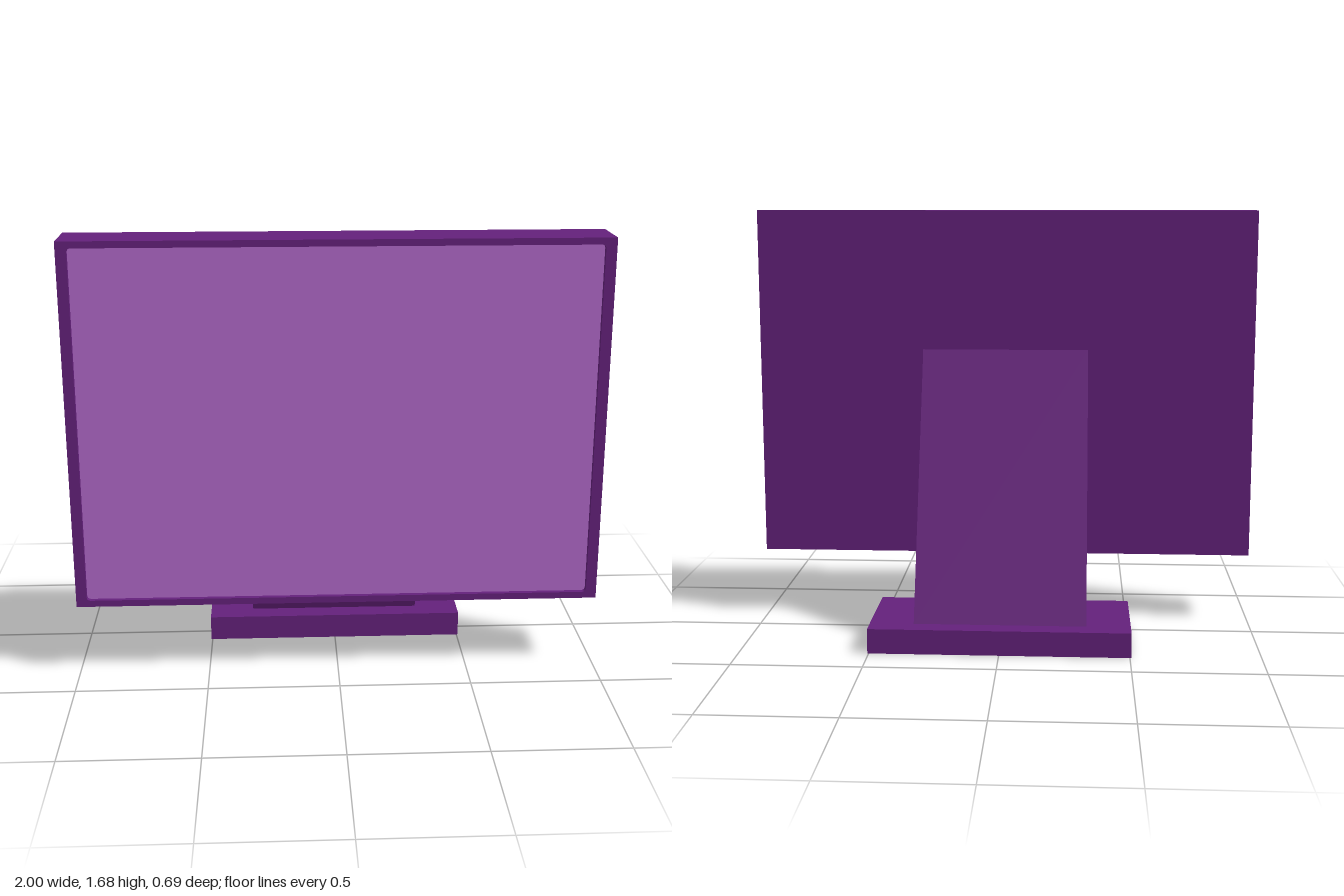
import * as THREE from 'three';

const purple = new THREE.MeshStandardMaterial({ name: 'casing purple', color: 0x64217b });
const lilac = new THREE.MeshStandardMaterial({ name: 'screen lilac', color: 0xb269ca });

function add(group, name, geometry, material, x = 0, y = 0, z = 0) {
  const mesh = new THREE.Mesh(geometry, material);
  mesh.name = name;
  mesh.position.set(x, y, z);
  group.add(mesh);
}

// Closed rectangle with rounded corners, centred on the origin
function roundedRect(path, w, h, r) {
  const x = w / 2, y = h / 2;
  path.moveTo(-x + r, -y);
  path.lineTo(x - r, -y);
  path.quadraticCurveTo(x, -y, x, -y + r);
  path.lineTo(x, y - r);
  path.quadraticCurveTo(x, y, x - r, y);
  path.lineTo(-x + r, y);
  path.quadraticCurveTo(-x, y, -x, y - r);
  path.lineTo(-x, -y + r);
  path.quadraticCurveTo(-x, -y, -x + r, -y);
  return path;
}

export function createModel() {
  const model = new THREE.Group();
  model.name = 'monitor';

  const width = 2, height = 1.4, midY = 0.977;
  const back = 0.147, front = 0.347, recess = 0.02;
  const screenW = 1.92, screenH = 1.35, corner = 0.015;

  // Casing behind the screen
  const bodyDepth = front - back - recess;
  add(model, 'casing', new THREE.BoxGeometry(width, height, bodyDepth), purple, 0, midY, back + bodyDepth / 2);

  // Raised bezel around the recessed screen
  const bezel = new THREE.Shape([
    new THREE.Vector2(-width / 2, -height / 2), new THREE.Vector2(width / 2, -height / 2),
    new THREE.Vector2(width / 2, height / 2), new THREE.Vector2(-width / 2, height / 2),
  ]);
  bezel.holes.push(roundedRect(new THREE.Path(), screenW, screenH, corner));
  const bezelGeometry = new THREE.ExtrudeGeometry(bezel, { depth: recess, bevelEnabled: false, curveSegments: 4 });
  add(model, 'bezel', bezelGeometry, purple, 0, midY, front - recess);

  // Screen panel on the recess floor
  const screen = roundedRect(new THREE.Shape(), screenW, screenH, corner);
  add(model, 'screen', new THREE.ShapeGeometry(screen, 4), lilac, 0, midY, front - recess + 0.002);

  // Sloping stand: side profile as (-z, y), extruded across x
  const profile = new THREE.Shape([[-0.147, 1.12], [-0.147, 0.483], [0, 0.097], [0.272, 0.097]]
    .map(([x, y]) => new THREE.Vector2(x, y)));
  const stand = new THREE.ExtrudeGeometry(profile, { depth: 0.668, bevelEnabled: false });
  stand.translate(0, 0, -0.334).rotateY(Math.PI / 2);
  add(model, 'stand', stand, purple);

  // Foot
  add(model, 'base', new THREE.BoxGeometry(1.01, 0.097, 0.423), purple, 0, 0.0485, -0.1355);

  return model;
}
